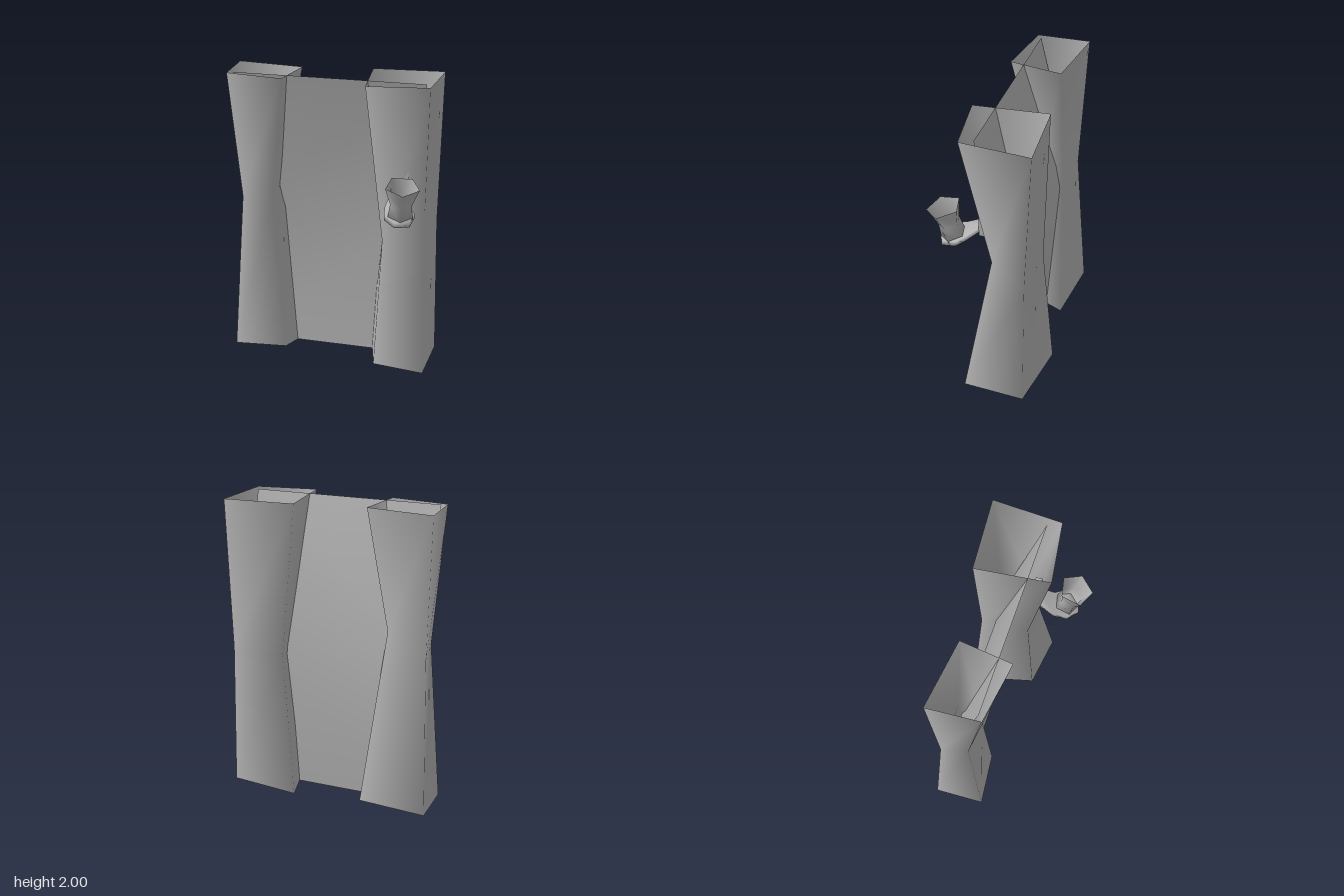
import * as THREE from 'three';

const stone = new THREE.MeshStandardMaterial({ color: 0xb0b0b0, side: THREE.DoubleSide });
stone.name = 'grey stone';

// Skin through rows of points; closed wraps each row, caps fill a closed loft's ends
function loft(name, rows, closed = true, caps = false) {
  const n = rows[0].length, index = [];
  for (let i = 0; i < rows.length - 1; i++) {
    for (let j = 0; j < (closed ? n : n - 1); j++) {
      const k = (j + 1) % n;
      const a = i * n + j, b = i * n + k, c = b + n, d = a + n;
      index.push(a, b, c, a, c, d);
    }
  }
  if (caps) {
    const e = (rows.length - 1) * n;
    index.push(0, 2, 1, 0, 3, 2, e, e + 1, e + 2, e, e + 2, e + 3);
  }
  const geo = new THREE.BufferGeometry();
  geo.setAttribute('position', new THREE.Float32BufferAttribute(rows.flat(2), 3));
  geo.setIndex(index);
  geo.computeVertexNormals();
  const mesh = new THREE.Mesh(geo, stone);
  mesh.name = name;
  return mesh;
}

export function createModel() {
  const group = new THREE.Group();
  group.name = 'wallSection';

  // Hollow four-sided pillars, pinched at the middle
  group.add(loft('leftPillar', [
    [[0.335, 0, 0.06], [0.69, 0, 0.11], [0.70, 0, -0.31], [0.22, 0, -0.375]],
    [[0.37, 0.9, 0], [0.64, 1.1, -0.08], [0.685, 0.97, -0.31], [0.315, 0.97, -0.32]],
    [[0.28, 2, 0.165], [0.685, 2, 0.105], [0.70, 2, -0.355], [0.22, 2, -0.32]],
  ]));
  group.add(loft('rightPillar', [
    [[-0.69, 0, 0], [-0.33, 0, -0.04], [-0.23, 0, -0.295], [-0.705, 0, -0.34]],
    [[-0.64, 1.1, -0.08], [-0.42, 1.1, -0.06], [-0.395, 1.2, -0.23], [-0.67, 1.05, -0.265]],
    [[-0.685, 2, 0.05], [-0.29, 2, 0.11], [-0.25, 2, -0.24], [-0.71, 2, -0.30]],
  ]));

  // Thin wall sheet, bent back at mid height
  group.add(loft('wallPanel', [[0, -0.17], [1, -0.22], [2, 0.02]].map(
    ([y, z]) => [[-0.65, y, z], [0.645, y, z]]), false));

  // Torch holder: wall plate, bent arm and flared cup
  const torch = new THREE.Group();
  torch.name = 'torchHolder';
  const plate = new THREE.Mesh(new THREE.BoxGeometry(0.115, 0.2, 0.045), stone);
  plate.name = 'wallPlate';
  plate.position.set(0.488, 1.315, 0.015);
  torch.add(plate);

  // Each arm section: centre, half width, yaw of its width direction
  const sections = [
    [0.485, 1.27, 0.02, 0.05, 0],
    [0.495, 1.185, 0.14, 0.08, 0.25],
    [0.525, 1.165, 0.21, 0.1, 0.4],
    [0.56, 1.14, 0.29, 0.05, 0.4],
  ];
  torch.add(loft('arm', sections.map(([x, y, z, w, yaw]) => {
    const dx = w * Math.cos(yaw), dz = -w * Math.sin(yaw), t = 0.017;
    return [[x + dx, y - t, z + dz], [x + dx, y + t, z + dz],
      [x - dx, y + t, z - dz], [x - dx, y - t, z - dz]];
  }), true, true));

  const profile = [[0, 0], [0.085, 0], [0.074, 0.11], [0.115, 0.235]].map((p) => new THREE.Vector2(...p));
  const cup = new THREE.Mesh(new THREE.LatheGeometry(profile, 5, 0.22), stone);
  cup.name = 'cup';
  cup.position.set(0.53, 1.165, 0.212);
  cup.rotation.set(0.24, 0, -0.1);
  torch.add(cup);
  group.add(torch);

  return group;
}
